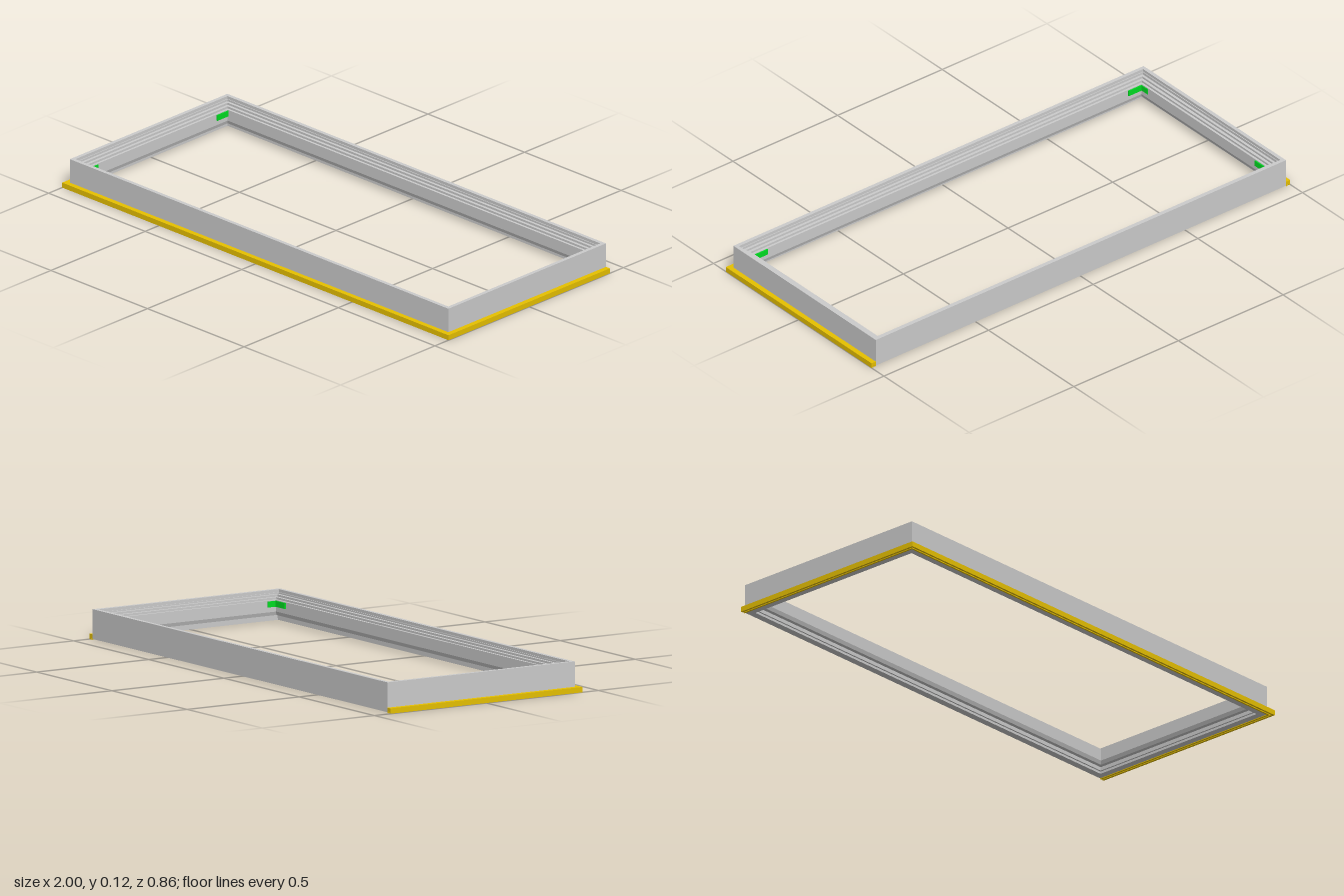
import * as THREE from 'three';

const HALF_X = 0.98, FRONT_Z = 0.408, BACK_Z = -0.428;

// Mitred sweep of a profile [inset, height] around the rectangle.
// open = true runs along the sides and front only, with square capped back ends.
function sweep(profile, open) {
  const corners = (u) => {
    const x = HALF_X - u, zb = open ? BACK_Z : BACK_Z + u, zf = FRONT_Z - u;
    return [[-x, zb], [-x, zf], [x, zf], [x, zb]];
  };
  const pos = [];
  const point = ([u, y], c) => {
    const [x, z] = corners(u)[c];
    return [x, y, z];
  };
  profile.forEach((a, i) => {
    const b = profile[(i + 1) % profile.length];
    for (let c = 0; c < (open ? 3 : 4); c++) {
      const d = (c + 1) % 4;
      const A0 = point(a, c), A1 = point(a, d), B0 = point(b, c), B1 = point(b, d);
      pos.push(...A0, ...A1, ...B1, ...A0, ...B1, ...B0);
    }
  });
  if (open) {
    const faces = THREE.ShapeUtils.triangulateShape(profile.map((p) => new THREE.Vector2(...p)), []);
    for (const c of [0, 3]) for (const f of faces) for (const i of f) pos.push(...point(profile[i], c));
  }
  const g = new THREE.BufferGeometry();
  g.setAttribute('position', new THREE.Float32BufferAttribute(pos, 3));
  g.computeVertexNormals();
  return g;
}

export function createModel() {
  const model = new THREE.Group();
  const material = (color) => new THREE.MeshStandardMaterial({ color, flatShading: true, side: THREE.DoubleSide });
  const grey = material(0xcccccc), yellow = material(0xe6c000), green = material(0x00dd22);
  const add = (name, geometry, mat, x = 0, y = 0, z = 0) => {
    const mesh = new THREE.Mesh(geometry, mat);
    mesh.name = name;
    mesh.position.set(x, y, z);
    model.add(mesh);
  };

  // Main frame: tall outer wall, gasket groove, stepped ledges and inner lip
  add('frame', sweep([
    [0, 0.003], [0, 0.115], [0.015, 0.115], [0.015, 0.104], [0.018, 0.104],
    [0.018, 0.09], [0.024, 0.09], [0.024, 0.1], [0.034, 0.1], [0.034, 0.092],
    [0.045, 0.092], [0.045, 0.084], [0.054, 0.084], [0.054, 0.04],
    [0.049, 0.026], [0.034, 0.026], [0.034, 0.012], [0.028, 0.012], [0.028, 0.003],
  ]), grey);

  // Edge trim on three sides, with a shallow slot underneath
  add('edgeTrim', sweep([
    [-0.02, 0], [-0.02, 0.02], [0, 0.02], [0, 0],
    [-0.007, 0], [-0.007, 0.006], [-0.012, 0.006], [-0.012, 0],
  ], true), yellow);

  // Small corner keys inside the front corners, and slim tabs at the back
  for (const s of [-1, 1]) {
    add('frontCornerKey', new THREE.BoxGeometry(0.065, 0.022, 0.006), green, s * 0.894, 0.07, 0.352);
    add('frontCornerTab', new THREE.BoxGeometry(0.006, 0.022, 0.04), green, s * 0.926, 0.07, 0.335);
  }
  add('backCornerTab', new THREE.BoxGeometry(0.006, 0.022, 0.06), green, -0.924, 0.07, -0.345);
  return model;
}
